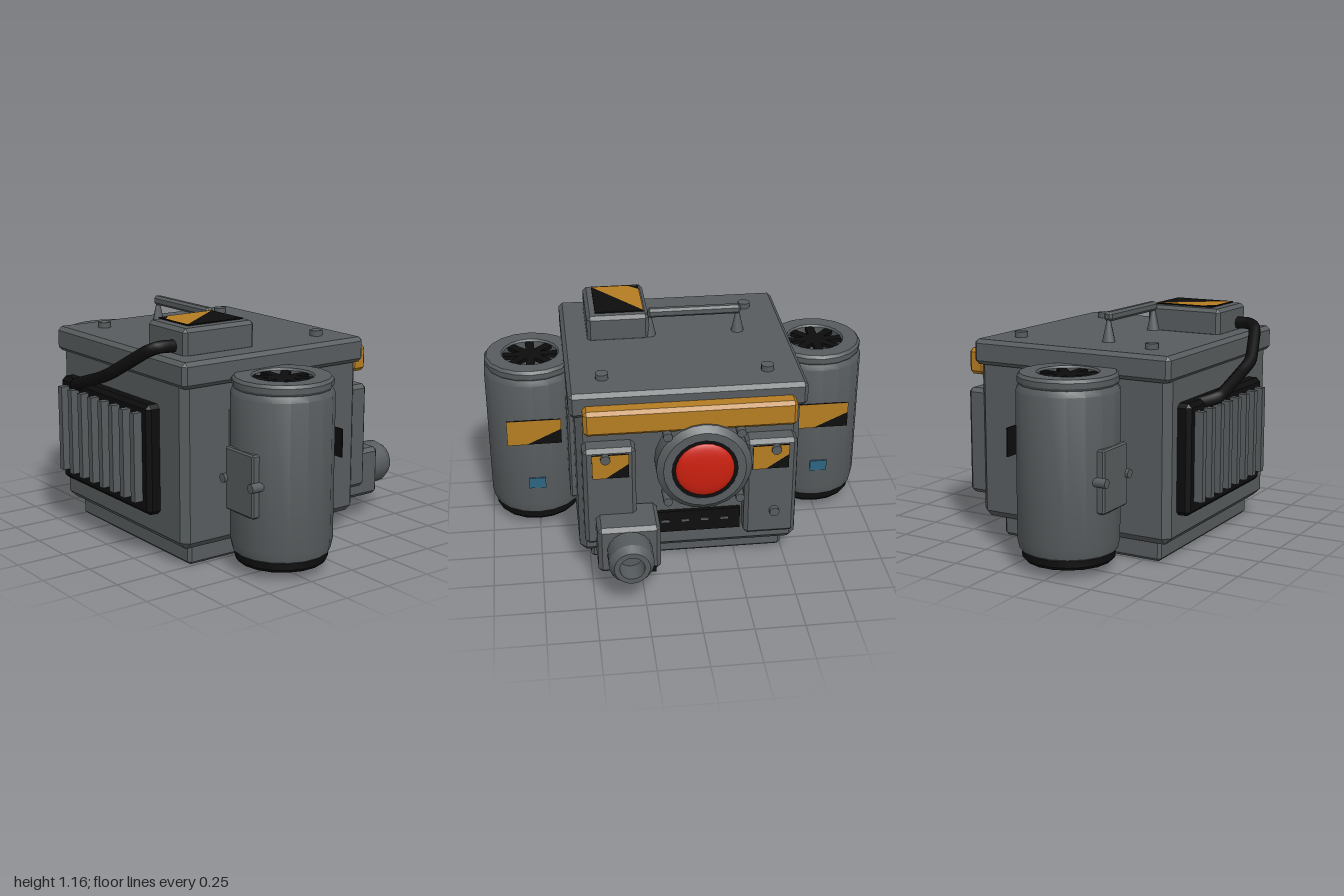
import * as THREE from 'three';
import { toCreasedNormals } from 'three/addons/utils/BufferGeometryUtils.js';
import { ConvexGeometry } from 'three/addons/geometries/ConvexGeometry.js';

const mat = (name, color, side = THREE.FrontSide) => {
  const m = new THREE.MeshStandardMaterial({ color, side });
  m.name = name;
  return m;
};

export function createModel() {
  const grey = mat('gunmetal grey', 0x575c5e);
  const black = mat('rubber black', 0x0d0d0d);
  const orange = mat('warning orange', 0xb57d22);
  const red = mat('lens red', 0xcc200f);
  const blue = mat('glass blue', 0x2c6482, THREE.DoubleSide);
  const model = new THREE.Group();

  const add = (name, geo, material, x = 0, y = 0, z = 0, parent = model) => {
    const mesh = new THREE.Mesh(geo, material);
    mesh.name = name;
    mesh.position.set(x, y, z);
    parent.add(mesh);
    return mesh;
  };

  // Box with chamfered edges, given by its limits on each axis
  const block = (name, material, [x0, x1], [y0, y1], [z0, z1], c = 0.02, parent = model) => {
    const h = [(x1 - x0) / 2, (y1 - y0) / 2, (z1 - z0) / 2];
    const pts = [];
    for (const sx of [-1, 1]) for (const sy of [-1, 1]) for (const sz of [-1, 1]) {
      for (let k = 0; k < 3; k++) {
        const p = [sx, sy, sz].map((s, i) => s * (h[i] - (i === k ? 0 : c)));
        pts.push(new THREE.Vector3(...p));
      }
    }
    return add(name, new ConvexGeometry(pts), material, (x0 + x1) / 2, (y0 + y1) / 2, (z0 + z1) / 2, parent);
  };

  const lathe = (points, sides = 18) =>
    toCreasedNormals(new THREE.LatheGeometry(points.map((p) => new THREE.Vector2(...p)), sides), 0.5);
  const backward = (geo) => geo.rotateX(-Math.PI / 2); // turns +y to the rear
  const bolt = (r, h) => new THREE.CylinderGeometry(r, r, h, 10);

  // Black plate with an orange hazard area, given in fractions of the plate
  const label = (name, w, h, area, x, y, z) => {
    const g = new THREE.Group();
    g.name = name;
    g.position.set(x, y, z);
    add('labelPlate', new THREE.BoxGeometry(w, h, 0.006), black, 0, 0, 0, g);
    const shape = new THREE.Shape(area.map(([u, v]) => new THREE.Vector2((u - 0.5) * w, (v - 0.5) * h)));
    add('labelStripe', new THREE.ShapeGeometry(shape), orange, 0, 0, 0.005, g);
    model.add(g);
    return g;
  };
  const wedge = [[0, 0], [0.35, 0], [1, 0.6], [1, 1], [0, 1]];

  // Main case
  block('base', grey, [-0.5, 0.495], [0, 0.12], [-0.31, 0.59], 0.015);
  block('body', grey, [-0.555, 0.555], [0.1, 0.93], [-0.41, 0.66], 0.035);
  block('lid', grey, [-0.588, 0.585], [0.89, 1.017], [-0.42, 0.675], 0.02);
  for (const [x, z] of [[-0.41, -0.25], [0.41, -0.25], [-0.41, 0.49]]) {
    add('lidBolt', bolt(0.033, 0.03), grey, x, 1.03, z);
  }

  // Front grille
  block('grillePanel', black, [-0.47, 0.355], [0.235, 0.78], [0.64, 0.725], 0.02);
  for (let i = 0; i < 8; i++) {
    add('grilleBar', new THREE.BoxGeometry(0.036, 0.44, 0.07), grey, -0.4 + i * 0.0975, 0.52, 0.735);
  }

  // Top box, hazard plate and handle
  block('topBox', grey, [0.135, 0.455], [1.0, 1.145], [0.17, 0.58], 0.018);
  label('topLabel', 0.25, 0.32, [[0, 0.17], [0.25, 0], [1, 0], [0, 1]], 0.285, 1.152, 0.37).rotation.x = -Math.PI / 2;
  block('handleBar', grey, [-0.345, 0.14], [1.118, 1.165], [0.185, 0.23], 0.012);
  for (const x of [-0.33, 0.13]) {
    add('handlePost', new THREE.CylinderGeometry(0.01, 0.034, 0.11, 8), grey, x, 1.07, 0.208);
  }

  // Hose from the top box down to the grille
  const path = new THREE.CatmullRomCurve3([
    [0.36, 1.05, 0.55], [0.355, 1.055, 0.65], [0.31, 1.03, 0.7], [0.12, 0.91, 0.765],
    [0, 0.86, 0.765], [-0.24, 0.785, 0.765], [-0.3, 0.755, 0.69],
  ].map((p) => new THREE.Vector3(...p)), false, 'catmullrom', 0.25);
  add('hose', new THREE.TubeGeometry(path, 40, 0.031, 8), black);

  // Side tanks, side panels and rear panels
  for (const s of [-1, 1]) {
    const tank = new THREE.Group();
    tank.name = s > 0 ? 'leftTank' : 'rightTank';
    tank.position.set(s * 0.753, 0, 0.235);
    model.add(tank);
    add('tankShell', lathe([
      [0.215, 0.085], [0.235, 0.1], [0.246, 0.15], [0.246, 0.86], [0.232, 0.888], [0.24, 0.9],
      [0.24, 0.925], [0.228, 0.94], [0.15, 0.94], [0.143, 0.93], [0.143, 0.1],
    ]), grey, 0, 0, 0, tank);
    add('tankFoot', lathe([[0.14, 0.1], [0.14, 0.045], [0.212, 0.045], [0.224, 0.06], [0.224, 0.1]]), black, 0, 0, 0, tank);
    add('tankGlass', new THREE.CircleGeometry(0.143, 18).rotateX(Math.PI / 2), blue, 0, 0.085, 0, tank);
    for (let i = 0; i < 4; i++) {
      add('fanBlade', new THREE.BoxGeometry(0.285, 0.02, 0.045), black, 0, 0.92, 0, tank).rotation.y = i * Math.PI / 4;
    }
    block('tankHatch', grey, [-0.107, 0.107], [0.31, 0.615], [0.19, 0.255], 0.008, tank);
    for (const x of [-0.107, 0.107]) {
      add('hatchBolt', bolt(0.023, 0.07).rotateX(Math.PI / 2), grey, x, 0.462, 0.235, tank);
    }
    add('tankWindow', new THREE.BoxGeometry(0.09, 0.06, 0.008), blue, 0, 0.29, -0.246, tank);
    label('tankLabel', 0.28, 0.14, wedge, s * 0.755, 0.6, -0.015).rotation.y = Math.PI;

    const span = (a, b) => (s > 0 ? [a, b] : [-b, -a]);
    block('sidePanel', grey, span(0.53, 0.585), [0.27, 0.765], [-0.145, 0.4], 0.01);
    block('rearPanel', grey, span(0.27, 0.53), [0.21, 0.755], [-0.5, -0.38], 0.02);
    label('rearLabel', 0.18, 0.13, wedge, s * 0.395, 0.665, -0.506).rotation.y = Math.PI;
    for (const y of [0.35, 0.71]) {
      add('rearBolt', backward(bolt(0.025, 0.04)), grey, s * 0.42, y, -0.505);
    }
  }
  add('sidePlate', new THREE.BoxGeometry(0.02, 0.33, 0.2), black, -0.595, 0.605, 0);

  // Rear bumper
  block('rearBar', orange, [-0.525, 0.52], [0.825, 0.957], [-0.495, -0.4], 0.018);

  // Rear lens
  const lens = new THREE.Group();
  lens.name = 'lens';
  lens.position.set(-0.065, 0.63, -0.4);
  model.add(lens);
  add('lensHousing', backward(lathe([
    [0.237, 0], [0.237, 0.105], [0.205, 0.132], [0.165, 0.132], [0.165, 0.12], [0, 0.12],
  ], 24)), grey, 0, 0, 0, lens);
  add('lensRing', backward(new THREE.CylinderGeometry(0.166, 0.166, 0.02, 24)), black, 0, 0, -0.12, lens);
  const dome = new THREE.SphereGeometry(0.146, 24, 8, 0, Math.PI * 2, 0, Math.PI / 2).scale(1, 0.2, 1);
  add('lensGlass', backward(dome), red, 0, 0, -0.13, lens);
  for (const x of [-0.18, 0.18]) for (const y of [-0.185, 0.185]) {
    add('lensBolt', backward(bolt(0.023, 0.12)), grey, x, y, -0.06, lens);
  }

  // Rear vent strip
  add('ventStrip', new THREE.BoxGeometry(0.46, 0.12, 0.03), black, -0.03, 0.27, -0.415);
  for (let i = 0; i < 4; i++) {
    add('ventSlot', new THREE.BoxGeometry(0.04, 0.012, 0.006), grey, -0.18 + i * 0.1, 0.275, -0.431);
  }

  // Exhaust
  block('exhaustBox', grey, [0.165, 0.475], [0.13, 0.385], [-0.64, -0.4], 0.02);
  add('exhaustPipe', backward(lathe([
    [0.112, 0], [0.112, 0.12], [0.088, 0.16], [0.062, 0.16], [0.062, 0.05], [0, 0.05],
  ])), grey, 0.32, 0.255, -0.63);
  add('exhaustTab', new THREE.BoxGeometry(0.06, 0.03, 0.008), black, 0.22, 0.14, -0.643);

  return model;
}
